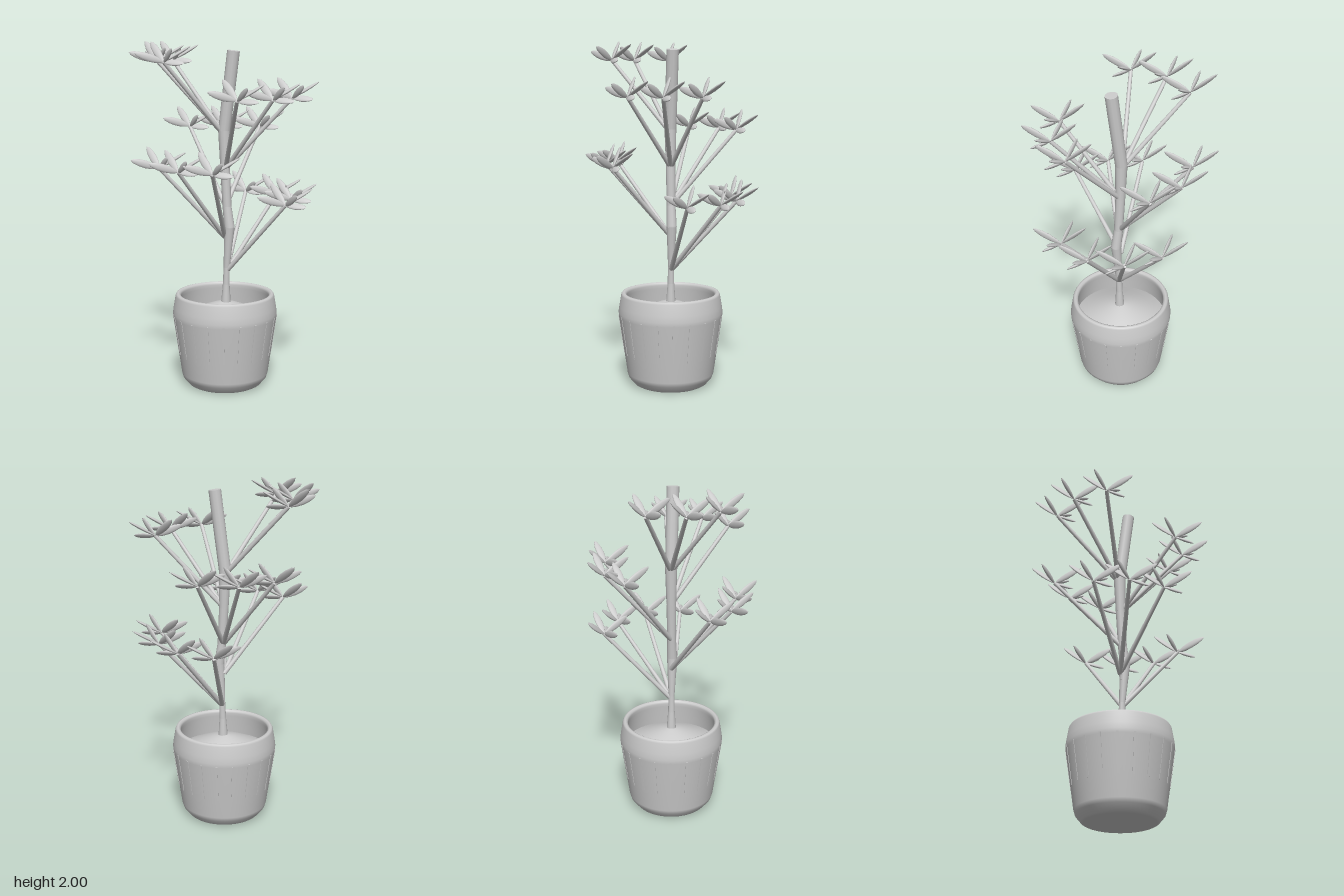
import * as THREE from 'three';

const V = (x, y, z) => new THREE.Vector3(x, y, z);
const gray = new THREE.MeshStandardMaterial({ color: 0xcccccc });
gray.name = 'light gray';

function part(name, geometry, parent) {
  const mesh = new THREE.Mesh(geometry, gray);
  mesh.name = name;
  parent.add(mesh);
  return mesh;
}

// Tapered round rod between two points
function rod(name, a, b, ra, rb, parent) {
  const dir = b.clone().sub(a);
  const mesh = part(name, new THREE.CylinderGeometry(rb, ra, dir.length(), 12), parent);
  mesh.position.copy(a).add(b).multiplyScalar(0.5);
  mesh.quaternion.setFromUnitVectors(V(0, 1, 0), dir.normalize());
}

// Spindle leaf, unit length along y, thin along z
const leafGeometry = new THREE.LatheGeometry(
  [[0, 0], [0.42, 0.08], [0.8, 0.25], [1, 0.48], [0.9, 0.7], [0.55, 0.9], [0, 1]]
    .map(([r, y]) => new THREE.Vector2(r, y)), 12);

// Leaf tips from the twig end, with the direction the blade faces
const leaves = [
  [V(-0.125, 0.11, -0.065), V(0, 0.51, 0.86)],
  [V(0.125, 0.09, -0.09), V(-0.4, 0.85, 0.3)],
  [V(0.125, -0.005, -0.01), V(0, 0.7, 0.7)],
  [V(0.122, 0.075, 0.11), V(-0.66, 0.1, 0.75)],
  [V(-0.125, 0.05, 0.105), V(0.64, 0.1, 0.77)],
];

function leafCluster(at, parent) {
  const cluster = new THREE.Group();
  cluster.name = 'leafCluster';
  cluster.position.copy(at);
  for (const [tip, face] of leaves) {
    const d = tip.clone().normalize();
    const w = d.clone().cross(face).normalize();
    const n = w.clone().cross(d);
    const mesh = part('leaf', leafGeometry, cluster);
    mesh.quaternion.setFromRotationMatrix(new THREE.Matrix4().makeBasis(w, d, n));
    mesh.scale.set(0.022, tip.length(), 0.009);
  }
  parent.add(cluster);
}

export function createModel() {
  const model = new THREE.Group();
  model.name = 'pottedTree';

  // Pot: tapered wall, rounded foot, inward shoulder, rounded rim and hollow below it
  const profile = [[0, 0], [0.2, 0], [0.215, 0.008], [0.246, 0.045], [0.254, 0.07],
    [0.303, 0.41], [0.305, 0.435], [0.3, 0.47], [0.289, 0.535], [0.283, 0.546],
    [0.272, 0.549], [0.261, 0.543], [0.257, 0.53], [0.261, 0.51], [0.274, 0.39]];
  const pot = new THREE.Group();
  pot.name = 'pot';
  model.add(pot);
  part('potBody', new THREE.LatheGeometry(profile.map(p => new THREE.Vector2(...p)), 60), pot);

  // Shallow ribs just proud of the pot wall
  for (let i = 0; i < 20; i++) {
    const pivot = new THREE.Group();
    pivot.name = 'ribPivot';
    pivot.rotation.y = ((i + 0.5) / 20) * Math.PI * 2;
    const rib = part('potRib', new THREE.BoxGeometry(0.012, 0.23, 0.008), pivot);
    rib.position.set(0, 0.305, 0.2862);
    rib.rotation.x = Math.atan(0.049 / 0.34);
    pot.add(pivot);
  }

  // Mounded soil
  const soil = [[0.274, 0.395], [0.2, 0.43], [0.13, 0.462], [0.06, 0.488], [0, 0.502]];
  part('soil', new THREE.LatheGeometry(soil.map(p => new THREE.Vector2(...p)), 40), model);

  // Zigzag trunk: flared foot, narrow neck, swollen bend, thick cut top
  const trunk = new THREE.Group();
  trunk.name = 'trunk';
  model.add(trunk);
  const stations = [[0.006, 0.45, 0.031], [0.009, 0.6, 0.02], [0.012, 0.7, 0.018],
    [0.022, 0.84, 0.025], [0.03, 0.94, 0.03], [0.014, 1.06, 0.026], [0.002, 1.28, 0.028],
    [-0.004, 1.5, 0.035], [0.055, 1.95, 0.036]];
  for (let i = 1; i < stations.length; i++) {
    const [xa, ya, ra] = stations[i - 1], [xb, yb, rb] = stations[i];
    rod('trunkSection', V(xa, ya, 0), V(xb, yb, 0), ra, rb, trunk);
    if (i < stations.length - 1) {
      part('trunkJoint', new THREE.SphereGeometry(rb, 12, 8), trunk).position.set(xb, yb, 0);
    }
  }

  // Five tiers: branch root x, root y, twig height, twig ends (x, z)
  const tiers = [
    [0.012, 0.68, 1.095, [[0.38, -0.01], [0.32, -0.215], [0.16, -0.35], [-0.06, -0.38]]],
    [0.0, 0.88, 1.295, [[-0.28, 0.26], [-0.1, 0.355], [0.115, 0.355]]],
    [0.005, 1.06, 1.495, [[-0.345, -0.195], [-0.19, -0.34], [0.03, -0.385]]],
    [0.005, 1.28, 1.69, [[0.23, 0.29], [0.36, 0.12], [0.375, -0.095]]],
    [-0.01, 1.48, 1.89, [[-0.22, 0.3], [-0.36, 0.14], [-0.385, -0.07]]],
  ];
  for (const [x, y, top, ends] of tiers) {
    const tier = new THREE.Group();
    tier.name = 'branchTier';
    model.add(tier);
    for (const [ex, ez] of ends) {
      const tip = V(ex, top, ez);
      rod('branch', V(x, y, 0), tip, 0.014, 0.011, tier);
      leafCluster(tip, tier);
    }
  }
  return model;
}
